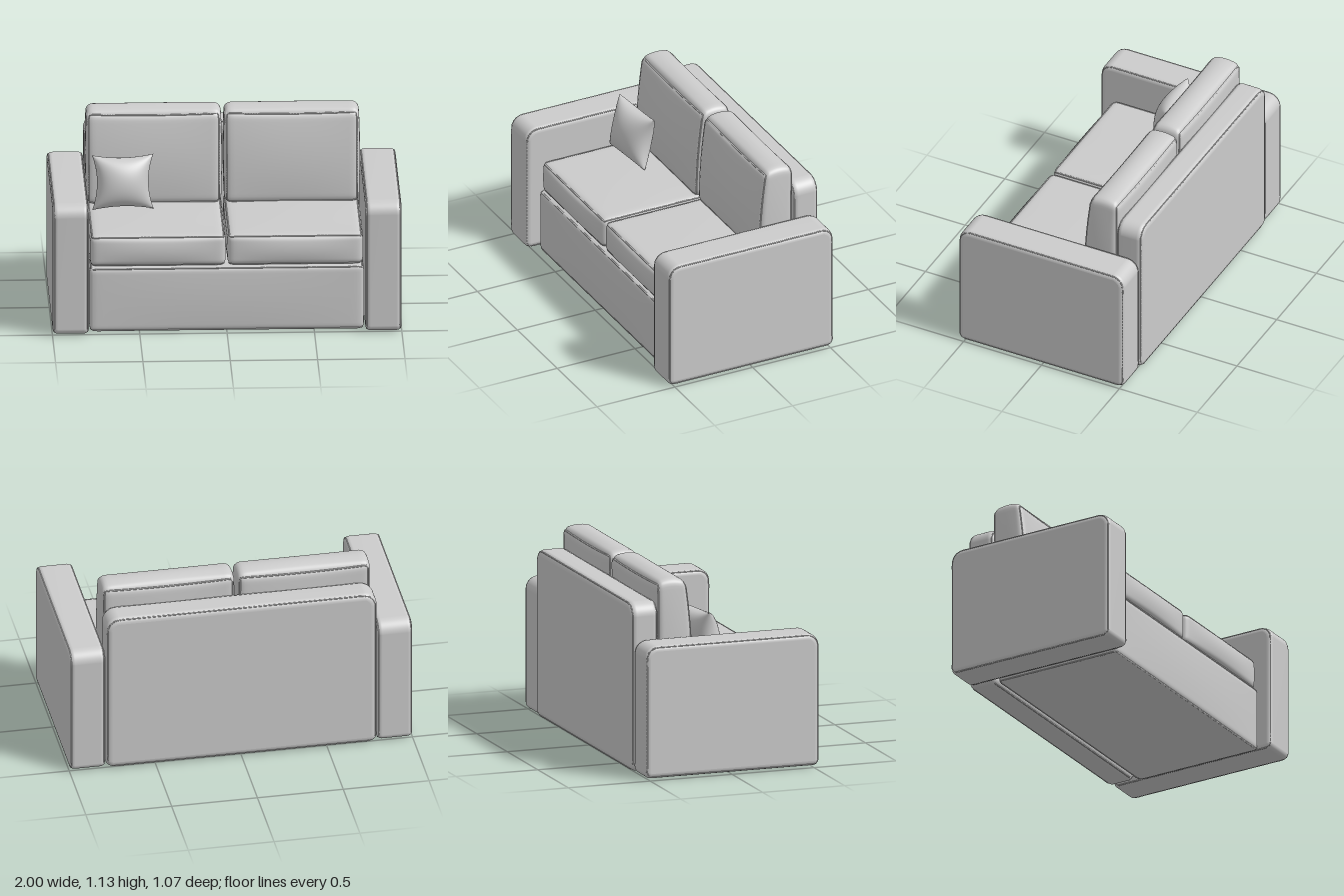
import * as THREE from 'three';
import { mergeVertices, mergeGeometries } from 'three/addons/utils/BufferGeometryUtils.js';

const fabric = new THREE.MeshStandardMaterial({ color: 0xcccccc });
const clamp = THREE.MathUtils.clamp;

function smooth(geo) {
  geo.deleteAttribute('uv');
  geo.deleteAttribute('normal');
  const merged = mergeVertices(geo, 1e-4);
  merged.computeVertexNormals();
  return merged;
}

function part(name, geo) {
  const mesh = new THREE.Mesh(geo, fabric);
  mesh.name = name;
  return mesh;
}

function seam(points, radius = 0.005) {
  const curve = new THREE.CatmullRomCurve3(points, true);
  return part('seam', new THREE.TubeGeometry(curve, 160, radius, 6, true));
}

// Padded box: rounded edges, bulging faces, optional extra deformation, piped seams
function softBox(name, [w, h, d], r, [bx, by, bz], seamAxis, deform = () => {}) {
  const half = new THREE.Vector3(w / 2, h / 2, d / 2);
  const shape = (p) => {
    const u = p.clone().divide(half);
    const inner = new THREE.Vector3(
      clamp(p.x, r - half.x, half.x - r),
      clamp(p.y, r - half.y, half.y - r),
      clamp(p.z, r - half.z, half.z - r));
    p.sub(inner).setLength(r).add(inner);
    const fx = 1 - u.x * u.x, fy = 1 - u.y * u.y, fz = 1 - u.z * u.z;
    p.x += bx * u.x * fy * fz;
    p.y += by * u.y * fx * fz;
    p.z += bz * u.z * fx * fy;
    deform(p, u);
    return p;
  };
  const geo = new THREE.BoxGeometry(2, 2, 2, 28, 28, 28);
  const pos = geo.attributes.position;
  const v = new THREE.Vector3();
  const ease = (t) => Math.sin(t * Math.PI / 2);
  for (let i = 0; i < pos.count; i++) {
    v.fromBufferAttribute(pos, i);
    v.set(ease(v.x), ease(v.y), ease(v.z)).multiply(half);
    shape(v);
    pos.setXYZ(i, v.x, v.y, v.z);
  }
  const group = new THREE.Group();
  group.name = name;
  group.add(part(name + 'Body', smooth(geo)));
  if (!seamAxis) return group;
  for (const end of [-1, 1]) {
    const pts = [];
    const corners = [[-1, -1], [1, -1], [1, 1], [-1, 1]];
    corners.forEach(([a, b], k) => {
      const [c, e] = corners[(k + 1) % 4];
      for (let i = 0; i < 12; i++) {
        const s = ease(i / 6 - 1) / 2 + 0.5;
        const m = a + (c - a) * s, n = b + (e - b) * s;
        const p = seamAxis === 'y' ? new THREE.Vector3(m, end, n) : new THREE.Vector3(m, n, end);
        pts.push(shape(p.multiply(half)));
      }
    });
    group.add(seam(pts));
  }
  return group;
}

// Rounded rectangle with separate top and bottom corner radii
function outline(w, h, rt, rb) {
  const x = w / 2, y = h / 2, q = Math.PI / 2;
  const s = new THREE.Shape();
  s.absarc(x - rb, rb - y, rb, -q, 0);
  s.absarc(x - rt, y - rt, rt, 0, q);
  s.absarc(rt - x, y - rt, rt, q, 2 * q);
  s.absarc(rb - x, rb - y, rb, 2 * q, 3 * q);
  s.closePath();
  return s;
}

// Upholstered slab with softened rims and a seam around each face
function slab(name, w, h, d, rt, rb, b) {
  const geo = new THREE.ExtrudeGeometry(outline(w - 2 * b, h - 2 * b, rt - b, rb - b), {
    depth: d - 2 * b, bevelSize: b, bevelThickness: b, bevelSegments: 6, curveSegments: 8,
  });
  geo.translate(0, 0, b - d / 2);
  const group = new THREE.Group();
  group.name = name;
  group.add(part(name + 'Body', smooth(geo)));
  const k = 0.3 * b;
  for (const end of [-1, 1]) {
    const pts = outline(w - 2 * k, h - 2 * k, rt - k, rb - k).getSpacedPoints(100).slice(0, -1);
    group.add(seam(pts.map((p) => new THREE.Vector3(p.x, p.y, end * (d / 2 - k))), 0.004));
  }
  return group;
}

// Scatter pillow: two puffed sheets with pinched corners
function pillow() {
  const sides = [1, -1].map((side) => {
    const geo = new THREE.PlaneGeometry(2, 2, 28, 28);
    const pos = geo.attributes.position;
    for (let i = 0; i < pos.count; i++) {
      const u = Math.sin(pos.getX(i) * Math.PI / 2), v = Math.sin(pos.getY(i) * Math.PI / 2);
      const fu = Math.max(0, 1 - u * u), fv = Math.max(0, 1 - v * v);
      pos.setXYZ(i,
        side * 0.178 * u * (1 - 0.17 * fv),
        0.158 * v * (1 - 0.12 * fu),
        side * 0.095 * Math.pow(fu * fv, 0.45));
    }
    return geo;
  });
  return part('scatterPillow', smooth(mergeGeometries(sides)));
}

export function createModel() {
  const sofa = new THREE.Group();
  sofa.name = 'sofa';
  const place = (obj, x, y, z) => {
    obj.position.set(x, y, z);
    sofa.add(obj);
    return obj;
  };

  // Frame: base and back panel
  place(softBox('base', [1.57, 0.385, 0.8], 0.03, [0, 0, 0.008], 'y'), 0, 0.197, 0.06);
  place(slab('backPanel', 1.58, 0.985, 0.165, 0.08, 0.045, 0.035), 0, 0.507, -0.452);

  for (const [side, label] of [[1, 'left'], [-1, 'right']]) {
    // Arm
    const arm = place(slab(label + 'Arm', 1.06, 0.775, 0.208, 0.075, 0.035, 0.03), side * 0.895, 0.402, 0.006);
    arm.rotation.y = Math.PI / 2;

    // Seat cushion with a rolled front
    place(softBox(label + 'SeatCushion', [0.775, 0.185, 0.8], 0.035, [0.004, 0.008, 0.02], 'y'),
      side * 0.393, 0.482, 0.045);

    // Back cushion, thinner and arched at the top
    const lean = (p, u) => {
      const t = (u.y + 1) / 2;
      p.z = -0.12 + (p.z + 0.12) * (1 - 0.19 * t * t);
      p.y += t * (0.008 * u.x * u.x - 0.018 * u.z * u.z);
    };
    place(softBox(label + 'BackCushion', [0.77, 0.55, 0.225], 0.04, [0.008, 0.014, 0.012], 'z', lean),
      side * 0.395, 0.843, -0.262);
  }

  const cushion = place(pillow(), -0.578, 0.745, -0.035);
  cushion.rotation.set(-0.2, 0.12, 0);
  return sofa;
}
